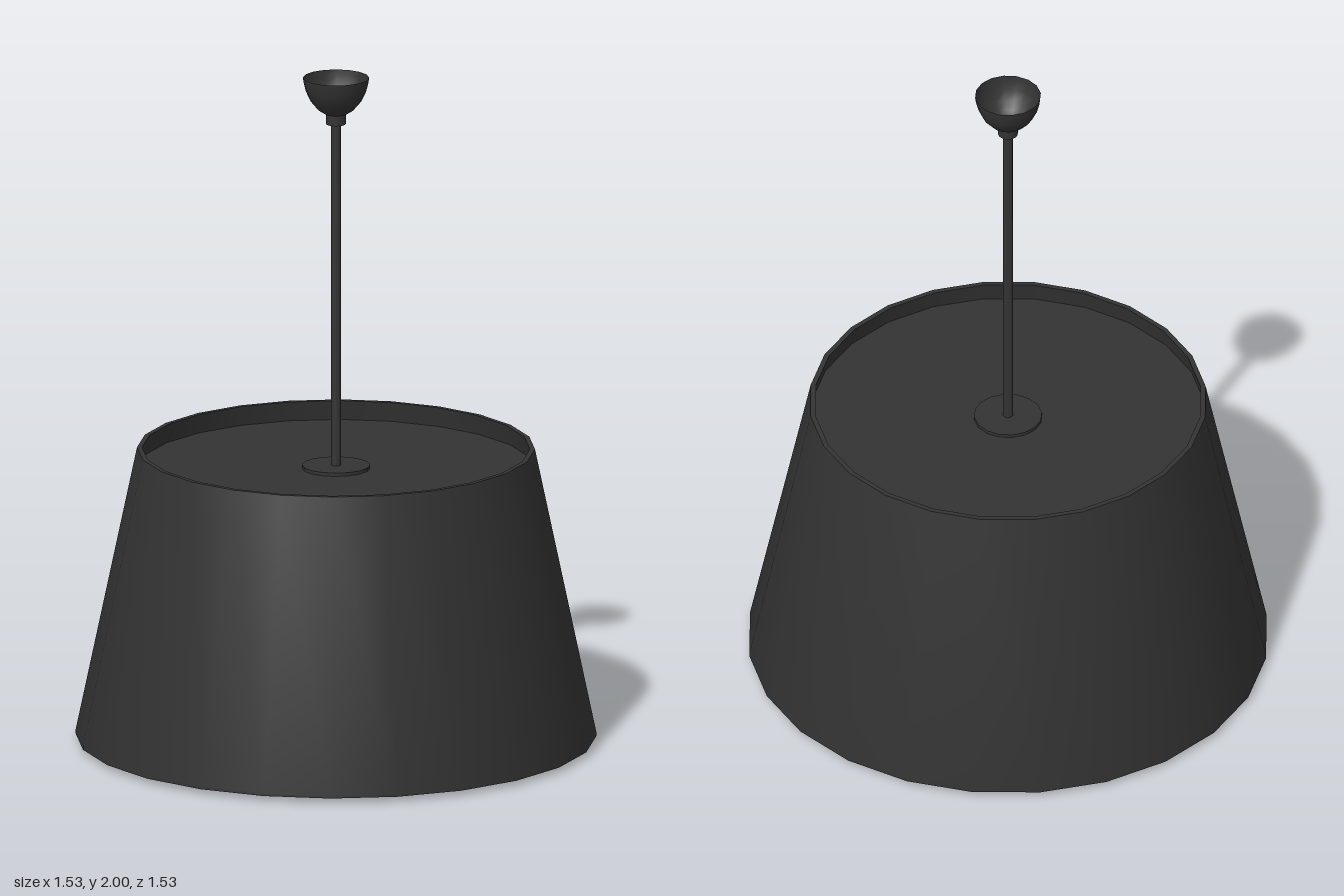
import * as THREE from 'three';
import { toCreasedNormals } from 'three/addons/utils/BufferGeometryUtils.js';

const material = new THREE.MeshStandardMaterial({ color: 0x333333, side: THREE.DoubleSide });

// Turned part from [radius, y] pairs; the outer side is listed from bottom to top.
function turned(name, profile, sides) {
  const points = profile.map(([r, y]) => new THREE.Vector2(r, y));
  const geometry = toCreasedNormals(new THREE.LatheGeometry(points, sides), 0.6);
  const mesh = new THREE.Mesh(geometry, material);
  mesh.name = name;
  return mesh;
}

// Thin round plate with its top face at the given height.
function plate(name, radius, top, thickness, sides) {
  const mesh = new THREE.Mesh(new THREE.CylinderGeometry(radius, radius, thickness, sides), material);
  mesh.position.y = top - thickness / 2;
  mesh.name = name;
  return mesh;
}

export function createModel() {
  const group = new THREE.Group();
  group.name = 'pendantLamp';

  // Tapered drum shade with wall thickness
  group.add(turned('shade', [
    [0.748, 0.015], [0.763, 0.015], [0.763, 0.025], [0.583, 0.88],
    [0.568, 0.88], [0.748, 0.025], [0.748, 0.015],
  ], 24));

  // Recessed diffusers closing the shade at both ends
  group.add(plate('topDiffuser', 0.582, 0.82, 0.01, 24));
  group.add(plate('bottomDiffuser', 0.734, 0.11, 0.01, 24));

  // Washer on the top diffuser
  group.add(plate('topWasher', 0.1, 0.83, 0.01, 16));

  // Finial below the bottom diffuser
  group.add(turned('finial', [
    [0, 0], [0.012, 0.003], [0.018, 0.014], [0.016, 0.024], [0.04, 0.03],
    [0.046, 0.045], [0.075, 0.075], [0.1, 0.09], [0.1, 0.1], [0, 0.1],
  ], 16));

  // Hanging rod
  group.add(turned('rod', [
    [0, 0.1], [0.015, 0.1], [0.015, 1.9], [0, 1.9],
  ], 12));

  // Collar and open ceiling canopy
  group.add(turned('collar', [
    [0.015, 1.86], [0.029, 1.86], [0.029, 1.895], [0.015, 1.895],
  ], 16));
  group.add(turned('canopy', [
    [0.015, 1.885], [0.034, 1.892], [0.054, 1.905], [0.074, 1.928],
    [0.088, 1.957], [0.095, 1.985], [0.097, 2],
  ], 16));

  return group;
}
